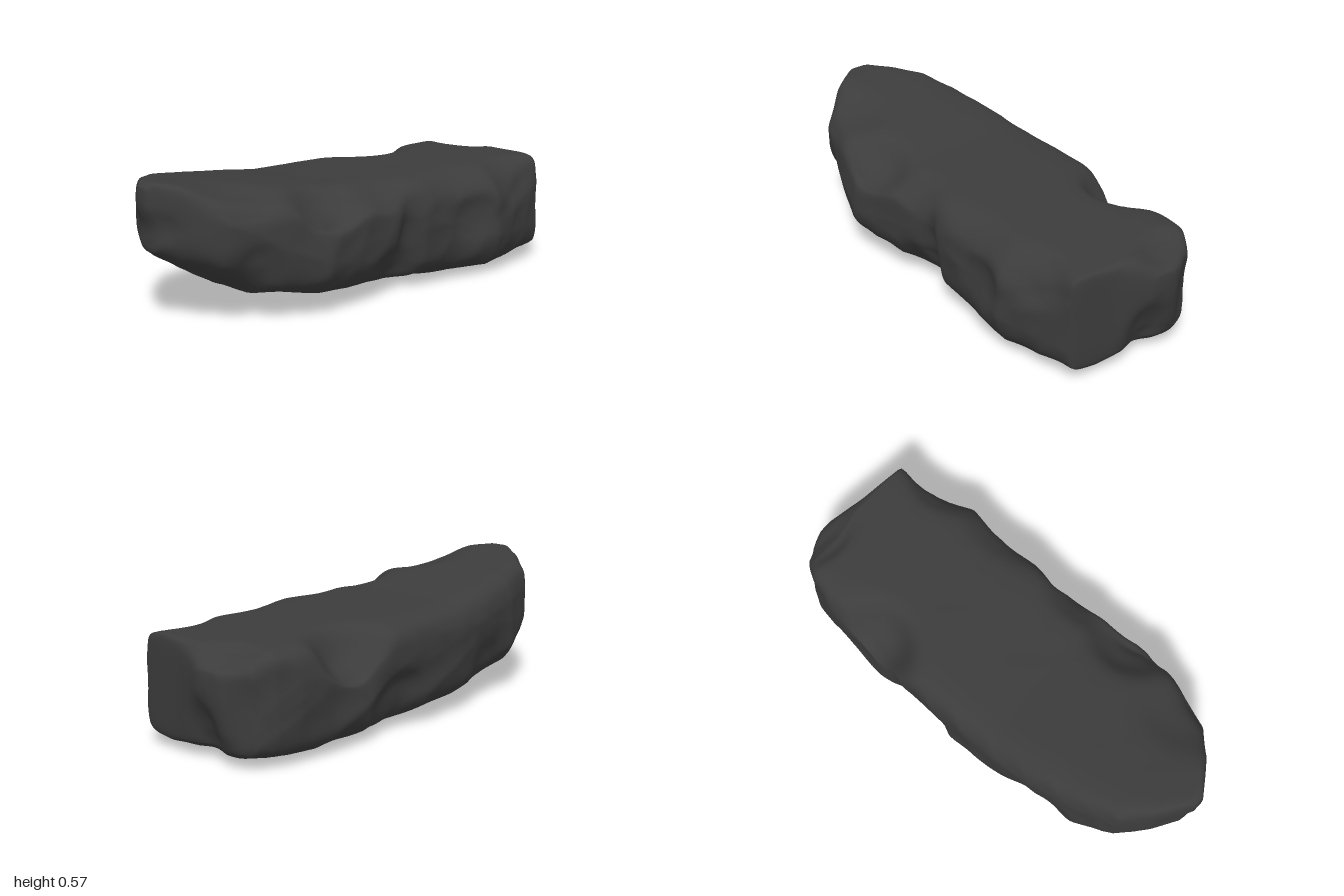
import * as THREE from 'three';

// Cross-sections along the rock: x, bottom, top, back z, front z, squareness
const SECTIONS = [
  [-1.0, 0.46, 0.555, -0.05, 0.0, 2.5],
  [-0.97, 0.3, 0.578, -0.1, 0.05, 2.8],
  [-0.9, 0.255, 0.573, -0.2, 0.16, 3.2],
  [-0.8, 0.2, 0.56, -0.3, 0.265, 3.6],
  [-0.62, 0.1, 0.537, -0.36, 0.34, 4],
  [-0.4, 0.07, 0.51, -0.39, 0.405, 4.2],
  [-0.2, 0.045, 0.484, -0.41, 0.38, 4.2],
  [0.0, 0.035, 0.48, -0.41, 0.365, 4.2],
  [0.2, 0.03, 0.48, -0.41, 0.37, 4.2],
  [0.36, 0.008, 0.478, -0.405, 0.375, 4.2],
  [0.58, 0.008, 0.478, -0.38, 0.405, 4.2],
  [0.75, 0.018, 0.478, -0.365, 0.365, 5],
  [0.85, 0.04, 0.478, -0.335, 0.335, 7],
  [0.92, 0.05, 0.477, -0.29, 0.315, 8],
  [0.945, 0.07, 0.46, -0.275, 0.12, 5],
  [0.975, 0.14, 0.43, -0.22, 0.02, 3.5],
  [1.0, 0.27, 0.39, -0.15, -0.05, 2.5],
];

// Worn upper edges: centre x y z, radii x y z, push y z
const WORN_EDGES = [
  [0.46, 0.48, -0.38, 0.16, 0.16, 0.14, -0.13, 0.04],
  [-0.34, 0.5, 0.38, 0.18, 0.12, 0.16, -0.09, -0.04],
  [-0.05, 0.49, 0.38, 0.14, 0.1, 0.12, -0.04, -0.02],
  [0.4, 0.48, 0.4, 0.2, 0.1, 0.13, -0.03, -0.02],
  [0.74, 0.45, 0.37, 0.16, 0.13, 0.12, -0.03, -0.04],
  [-0.72, 0.54, 0.25, 0.2, 0.1, 0.16, -0.045, -0.01],
];

// Dents in the front and back: centre x y z, radii x y z, push y z
const SIDE_DENTS = [
  [0.08, 0.15, 0.37, 0.06, 0.22, 0.14, 0, -0.05],
  [0.0, 0.1, 0.37, 0.12, 0.1, 0.12, 0.02, -0.04],
  [-0.68, 0.22, 0.31, 0.09, 0.1, 0.1, 0.015, -0.025],
  [0.45, 0.28, 0.4, 0.13, 0.09, 0.1, 0, -0.025],
  [-0.45, 0.15, -0.38, 0.14, 0.12, 0.1, 0, 0.03],
  [0.2, 0.15, -0.4, 0.15, 0.12, 0.1, 0.02, 0.04],
];

// Dents in the two ends: centre x y z, radii x y z, push y z x
const END_DENTS = [
  [-0.96, 0.4, -0.02, 0.06, 0.06, 0.15, 0, 0, 0.02],
  [0.96, 0.14, -0.04, 0.12, 0.12, 0.08, 0, 0, -0.04],
  [0.96, 0.24, -0.25, 0.08, 0.15, 0.06, 0, 0, -0.025],
  [0.93, 0.47, -0.17, 0.08, 0.08, 0.13, -0.035, 0, -0.02],
];

function sectionAt(x) {
  let i = 0;
  while (i < SECTIONS.length - 2 && x > SECTIONS[i + 1][0]) i++;
  const a = SECTIONS[i], b = SECTIONS[i + 1];
  const t = (x - a[0]) / (b[0] - a[0]);
  return a.map((v, k) => v + (b[k] - v) * t);
}

// Smooth ridged waves, 0 to 1, for the weathered surface
function weather(x, y, z) {
  const w = Math.sin(7 * x + 3 * Math.sin(5 * y + 2 * z)) * Math.sin(9 * z + 6 * y + 1.3);
  const v = Math.sin(17 * x - 8 * y + 2 * Math.sin(9 * z)) * Math.sin(15 * y + 11 * z + 4 * x);
  return 0.65 * Math.abs(w) + 0.35 * Math.abs(v);
}

// Each hollow has a flat floor and steep sides
function carve(x, y, z) {
  const p = [x, y, z];
  for (const hollows of [WORN_EDGES, SIDE_DENTS, END_DENTS]) {
    for (const [cx, cy, cz, rx, ry, rz, dy, dz, dx = 0] of hollows) {
      const d = ((x - cx) / rx) ** 2 + ((y - cy) / ry) ** 2 + ((z - cz) / rz) ** 2;
      const f = Math.exp(-(d ** 1.6));
      p[0] += dx * f;
      p[1] += dy * f;
      p[2] += dz * f;
    }
  }
  return p;
}

function rockGeometry(around = 128, along = 160) {
  const points = [], index = [];

  for (let i = 0; i <= along; i++) {
    // Rings sit closer together near the two ends
    const u = (i / along) * 2 - 1;
    const x = 0.5 * u + 0.5 * Math.sin((u * Math.PI) / 2);
    const [, bottom, top, back, front, square] = sectionAt(x);
    const cy = (bottom + top) / 2, cz = (back + front) / 2;
    const ry = (top - bottom) / 2, rz = (front - back) / 2;
    for (let j = 0; j < around; j++) {
      const a = (j / around) * Math.PI * 2;
      const c = Math.cos(a), s = Math.sin(a);
      const n = s > 0 ? square + 2 * s : square + 0.5 * s;
      const r = (Math.abs(c) ** n + Math.abs(s) ** n) ** (-1 / n);
      const y = ry * r * s, z = rz * r * c;
      // The top stays flatter than the sides
      const rough = 0.045 - 0.037 * THREE.MathUtils.smoothstep(s, 0.5, 0.8);
      const k = 1 - rough * weather(x, cy + y, cz + z);
      points.push(...carve(x, cy + y * k, cz + z * k));
    }
  }
  for (let i = 0; i < along; i++) {
    for (let j = 0; j < around; j++) {
      const a = i * around + j, b = i * around + ((j + 1) % around);
      index.push(a, a + around, b, b, a + around, b + around);
    }
  }
  // Close both ends
  for (const ring of [0, along]) {
    const [x, bottom, top, back, front] = SECTIONS.at(ring === 0 ? 0 : -1);
    const centre = points.length / 3;
    points.push(...carve(x, (bottom + top) / 2, (back + front) / 2));
    for (let j = 0; j < around; j++) {
      const a = ring * around + j, b = ring * around + ((j + 1) % around);
      if (ring === 0) index.push(centre, a, b);
      else index.push(centre, b, a);
    }
  }
  const g = new THREE.BufferGeometry();
  g.setAttribute('position', new THREE.Float32BufferAttribute(points, 3));
  g.setIndex(index);
  g.computeVertexNormals();
  return g;
}

export function createModel() {
  const group = new THREE.Group();
  group.name = 'rock';
  const stone = new THREE.MeshStandardMaterial({ color: 0x3c3c3c });
  const rock = new THREE.Mesh(rockGeometry(), stone);
  rock.name = 'boulder';
  group.add(rock);

  // Stand on the ground, centred
  const box = new THREE.Box3().setFromObject(rock);
  const mid = box.getCenter(new THREE.Vector3());
  rock.position.set(-mid.x, -box.min.y, -mid.z);
  return group;
}
